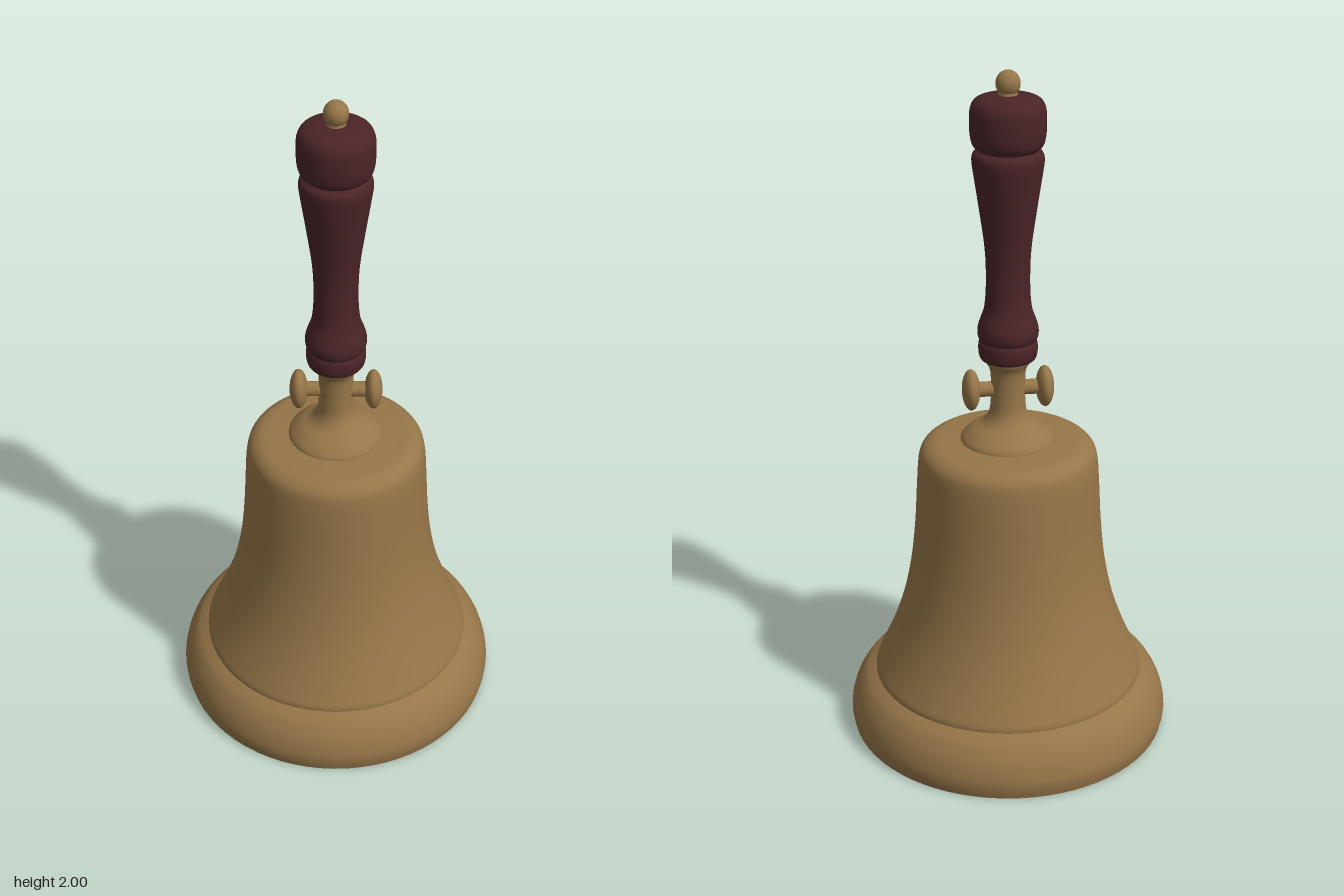
import * as THREE from 'three';

const brass = new THREE.MeshStandardMaterial({ color: 0x967649 });
brass.name = 'brass';
const wood = new THREE.MeshStandardMaterial({ color: 0x4a2427 });
wood.name = 'dark red wood';

// Smooth turned surface through [radius, y] points
function turned(name, points, material, steps = 4, segments = 72) {
  const curve = new THREE.SplineCurve(points.map(([r, y]) => new THREE.Vector2(r, y)));
  const profile = curve.getPoints((points.length - 1) * steps);
  profile.forEach((p) => { p.x = Math.max(p.x, 0); });
  const mesh = new THREE.Mesh(new THREE.LatheGeometry(profile, segments), material);
  mesh.name = name;
  return mesh;
}

function ellipsoid(name, rx, ry, rz, y) {
  const mesh = new THREE.Mesh(new THREE.SphereGeometry(1, 32, 20), brass);
  mesh.scale.set(rx, ry, rz);
  mesh.position.y = y;
  mesh.name = name;
  return mesh;
}

function rod(name, rTop, rBottom, y0, y1) {
  const mesh = new THREE.Mesh(new THREE.CylinderGeometry(rTop, rBottom, y1 - y0, 24), brass);
  mesh.position.y = (y0 + y1) / 2;
  mesh.name = name;
  return mesh;
}

export function createModel() {
  const group = new THREE.Group();
  group.name = 'handBell';

  // Bell shell: thick lip, waist and crown, plus the hollow inside
  group.add(turned('bellLip', [
    [0.473, 0], [0.479, 0.03], [0.478, 0.06], [0.465, 0.105], [0.44, 0.145], [0.415, 0.165], [0.398, 0.175],
  ], brass));
  group.add(turned('bellBody', [
    [0.402, 0.172], [0.4, 0.188], [0.384, 0.222], [0.35, 0.3], [0.316, 0.4], [0.29, 0.52], [0.275, 0.65],
    [0.267, 0.78], [0.261, 0.86], [0.25, 0.895], [0.222, 0.916], [0.18, 0.921], [0.135, 0.925],
  ], brass));
  group.add(turned('bellInside', [
    [0, 0.87], [0.12, 0.87], [0.2, 0.855], [0.225, 0.8], [0.235, 0.68], [0.255, 0.52], [0.28, 0.4],
    [0.315, 0.3], [0.36, 0.2], [0.41, 0.1], [0.445, 0],
  ], brass));
  const rim = new THREE.Mesh(new THREE.RingGeometry(0.445, 0.473, 72), brass);
  rim.rotation.x = Math.PI / 2;
  rim.name = 'bellRim';
  group.add(rim);

  // Collar and neck between bell and handle
  group.add(turned('neck', [
    [0.138, 0.918], [0.133, 0.935], [0.105, 0.96], [0.075, 0.978], [0.056, 1.005], [0.05, 1.04],
    [0.049, 1.1], [0.052, 1.14], [0.064, 1.165], [0.066, 1.18],
  ], brass));

  // Pair of side knobs on a diagonal pin through the neck
  const knobs = new THREE.Group();
  knobs.name = 'sideKnobs';
  knobs.position.y = 1.08;
  knobs.rotation.y = -Math.PI / 4;
  const pin = rod('knobPin', 0.022, 0.022, -0.105, 0.105);
  pin.rotation.z = Math.PI / 2;
  knobs.add(pin);
  for (const side of [-1, 1]) {
    const knob = ellipsoid('knob', 0.026, 0.061, 0.047, 0);
    knob.position.x = side * 0.107;
    knobs.add(knob);
  }
  group.add(knobs);

  // Turned handle with a lower bead and a rounded cap
  group.add(turned('handleFoot', [
    [0, 1.172], [0.06, 1.172], [0.078, 1.176], [0.084, 1.195], [0.084, 1.22], [0.079, 1.232],
  ], wood));
  group.add(turned('handleGrip', [
    [0.079, 1.23], [0.086, 1.245], [0.086, 1.268], [0.078, 1.295], [0.067, 1.33], [0.062, 1.4], [0.065, 1.5],
    [0.081, 1.62], [0.096, 1.72], [0.1, 1.755], [0.096, 1.773], [0.082, 1.785],
  ], wood));
  group.add(turned('handleCap', [
    [0.082, 1.782], [0.097, 1.797], [0.104, 1.825], [0.105, 1.87], [0.102, 1.9], [0.087, 1.922],
    [0.05, 1.932], [0, 1.934],
  ], wood));

  // Finial
  group.add(rod('finialStem', 0.024, 0.028, 1.925, 1.955));
  group.add(ellipsoid('finialBall', 0.034, 0.036, 0.034, 1.964));

  // Clapper hanging inside
  group.add(rod('clapperRod', 0.018, 0.02, 0.14, 0.88));
  group.add(ellipsoid('clapperBall', 0.075, 0.085, 0.075, 0.09));

  return group;
}
